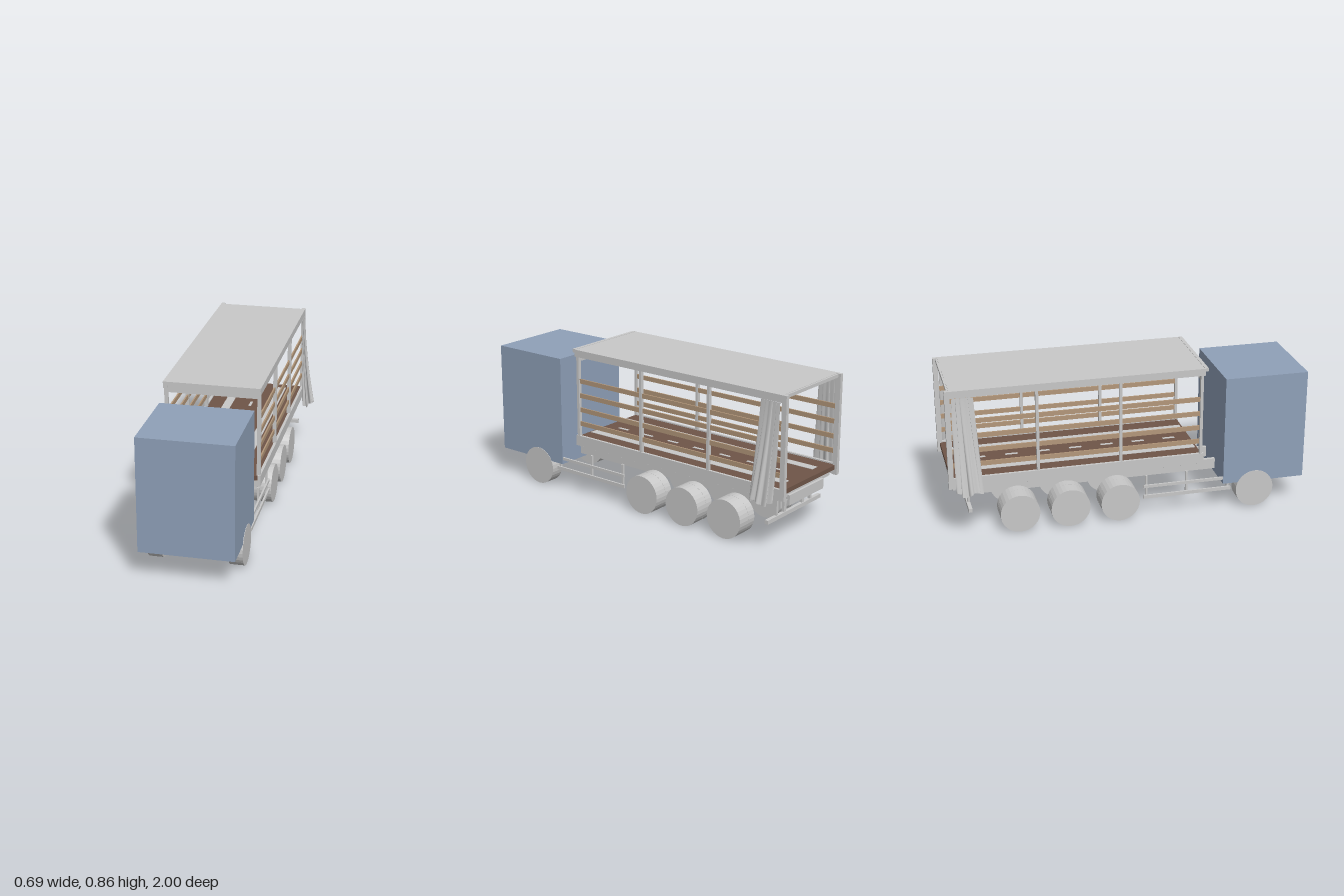
import * as THREE from 'three';

export function createModel() {
  const model = new THREE.Group();
  model.name = 'curtainTruck';
  const mat = (name, color, opts = {}) => {
    const m = new THREE.MeshStandardMaterial({ color, ...opts });
    m.name = name;
    return m;
  };
  const blue = mat('cabBlue', 0x8fa0b8);
  const grey = mat('frameGrey', 0xc8c8c8, { side: THREE.DoubleSide });
  const wood = mat('slatWood', 0xb3977a);
  const brown = mat('floorBrown', 0x6f5548);

  // Box given by its minimum and maximum on each axis
  const box = (name, material, [x0, x1], [y0, y1], [z0, z1]) => {
    const mesh = new THREE.Mesh(new THREE.BoxGeometry(x1 - x0, y1 - y0, z1 - z0), material);
    mesh.position.set((x0 + x1) / 2, (y0 + y1) / 2, (z0 + z1) / 2);
    mesh.name = name;
    model.add(mesh);
    return mesh;
  };
  // The same box on both sides
  const pair = (name, material, [x0, x1], y, z) => {
    box(name + 'Left', material, [x0, x1], y, z);
    box(name + 'Right', material, [-x1, -x0], y, z);
  };

  // Cab
  box('cab', blue, [-0.252, 0.252], [0.155, 0.783], [0.53, 1]);

  // Wheels: single in front, double behind
  const wheel = (x0, x1, z) => {
    for (const s of [1, -1]) {
      const geo = new THREE.CylinderGeometry(0.109, 0.109, x1 - x0, 32).toNonIndexed();
      geo.computeVertexNormals();
      const mesh = new THREE.Mesh(geo, grey);
      mesh.rotation.z = Math.PI / 2;
      mesh.position.set(s * (x0 + x1) / 2, 0.109, z);
      mesh.name = s > 0 ? 'wheelLeft' : 'wheelRight';
      model.add(mesh);
    }
  };
  wheel(0.177, 0.254, 0.715);
  for (const z of [-0.06, -0.34, -0.62]) {
    wheel(0.177, 0.254, z);
    wheel(0.125, 0.176, z);
  }

  // Chassis rails, stepped at the front and the tail
  const rail = new THREE.Shape();
  [[0.9, 0.18], [0.9, 0.24], [0.4, 0.24], [0.4, 0.3], [-0.97, 0.3], [-0.97, 0.245], [-0.87, 0.245], [-0.87, 0.18]]
    .forEach(([z, y], i) => (i ? rail.lineTo(-z, y) : rail.moveTo(-z, y)));
  for (const s of [1, -1]) {
    const geo = new THREE.ExtrudeGeometry(rail, { depth: 0.02, bevelEnabled: false });
    geo.rotateY(Math.PI / 2);
    const mesh = new THREE.Mesh(geo, grey);
    mesh.position.x = s * 0.083 - 0.01;
    mesh.name = s > 0 ? 'chassisRailLeft' : 'chassisRailRight';
    model.add(mesh);
  }

  // Cross members below the floor
  for (let i = 0; i < 15; i++) {
    const z = 0.385 - i * 0.095;
    box('crossMember', grey, [-0.245, 0.245], [0.29, 0.325], [z - 0.009, z + 0.009]);
  }

  // Floor with pale inlaid runners and centre marks
  box('floor', brown, [-0.25, 0.25], [0.33, 0.355], [-0.985, 0.4]);
  pair('floorRunner', grey, [0.11, 0.16], [0.354, 0.357], [-0.93, 0.39]);
  for (let i = 0; i < 7; i++) {
    const z = 0.28 - i * 0.18;
    box('floorMark', grey, [-0.008, 0.008], [0.354, 0.357], [z - 0.035, z + 0.035]);
  }

  // Sills, posts and top rails
  pair('sill', grey, [0.247, 0.262], [0.302, 0.362], [-0.985, 0.408]);
  pair('topRail', grey, [0.24, 0.262], [0.82, 0.858], [-0.985, 0.41]);
  for (const z of [0.392, -0.06, -0.515]) {
    pair('post', grey, [0.24, 0.26], [0.36, 0.825], [z - 0.008, z + 0.008]);
  }
  pair('rearPost', grey, [0.24, 0.262], [0.302, 0.86], [-1, -0.972]);
  box('rearLintel', grey, [-0.245, 0.245], [0.84, 0.858], [-0.985, -0.965]);
  box('frontLintel', grey, [-0.243, 0.243], [0.795, 0.842], [0.384, 0.4]);

  // Side slats
  for (const y of [0.432, 0.513, 0.596, 0.68]) {
    pair('slat', wood, [0.244, 0.252], [y - 0.013, y + 0.013], [-0.975, 0.39]);
  }

  // Roof with bows and stringers
  box('roof', grey, [-0.262, 0.262], [0.85, 0.86], [-0.975, 0.415]);
  box('roofLip', grey, [-0.26, 0.26], [0.842, 0.862], [0.405, 0.425]);
  for (let i = 0; i < 13; i++) {
    const z = 0.34 - i * 0.105;
    box('roofBow', grey, [-0.245, 0.245], [0.835, 0.85], [z - 0.006, z + 0.006]);
  }
  for (const x of [-0.125, 0, 0.125]) {
    box('roofStringer', grey, [x - 0.004, x + 0.004], [0.84, 0.85], [-0.97, 0.4]);
  }

  // Side guards
  pair('guardLower', grey, [0.24, 0.25], [0.115, 0.135], [0.07, 0.575]);
  pair('guardUpper', grey, [0.24, 0.25], [0.18, 0.196], [0.07, 0.575]);
  for (const [z, top] of [[0.56, 0.19], [0.32, 0.25], [0.09, 0.25]]) {
    pair('guardUpright', grey, [0.228, 0.24], [0.12, top], [z - 0.006, z + 0.006]);
  }

  // Rear bumper
  box('rearBumper', grey, [-0.25, 0.25], [0.148, 0.17], [-0.9, -0.88]);
  pair('bumperBracket', grey, [0.075, 0.095], [0.165, 0.25], [-0.895, -0.88]);
  pair('bumperHanger', grey, [0.15, 0.165], [0.165, 0.3], [-0.895, -0.88]);
  box('tailPlate', grey, [-0.16, 0.16], [0.245, 0.3], [-0.97, -0.955]);

  // Gathered curtains: pleated tubes that widen towards the hem
  const curtain = (s) => {
    const around = 64, rows = 16;
    const pos = [], idx = [];
    for (let j = 0; j <= rows; j++) {
      const t = j / rows; // 0 at the hem, 1 at the rail
      const flare = Math.pow(1 - t, 1.4);
      const hx = 0.004 + 0.034 * flare, hz = 0.054 + 0.019 * (1 - t);
      for (let i = 0; i < around; i++) {
        const a = (i / around) * Math.PI * 2;
        const fold = 0.82 + 0.2 * Math.cos(9 * a + 1.2 * t) + 0.09 * Math.sin(4 * a + 2 * t);
        const x = 0.262 + hx * 1.15 + hx * fold * Math.cos(a);
        const y = 0.292 + 0.528 * t + 0.012 * (1 - t) * Math.sin(3 * a);
        const z = -0.907 + 0.017 * (1 - t) + hz * fold * Math.sin(a);
        pos.push(s * x, y, z);
        if (j < rows) {
          const k = j * around, n = (i + 1) % around;
          const a0 = k + i, b0 = k + n, c0 = a0 + around, d0 = b0 + around;
          if (s > 0) idx.push(a0, c0, b0, b0, c0, d0);
          else idx.push(a0, b0, c0, b0, d0, c0);
        }
      }
    }
    const geo = new THREE.BufferGeometry();
    geo.setAttribute('position', new THREE.Float32BufferAttribute(pos, 3));
    geo.setIndex(idx);
    geo.computeVertexNormals();
    const mesh = new THREE.Mesh(geo, grey);
    mesh.name = s > 0 ? 'curtainLeft' : 'curtainRight';
    model.add(mesh);
  };
  curtain(1);
  curtain(-1);

  // Slight sideways offset of the whole vehicle
  for (const part of model.children) part.position.x -= 0.003;
  return model;
}
